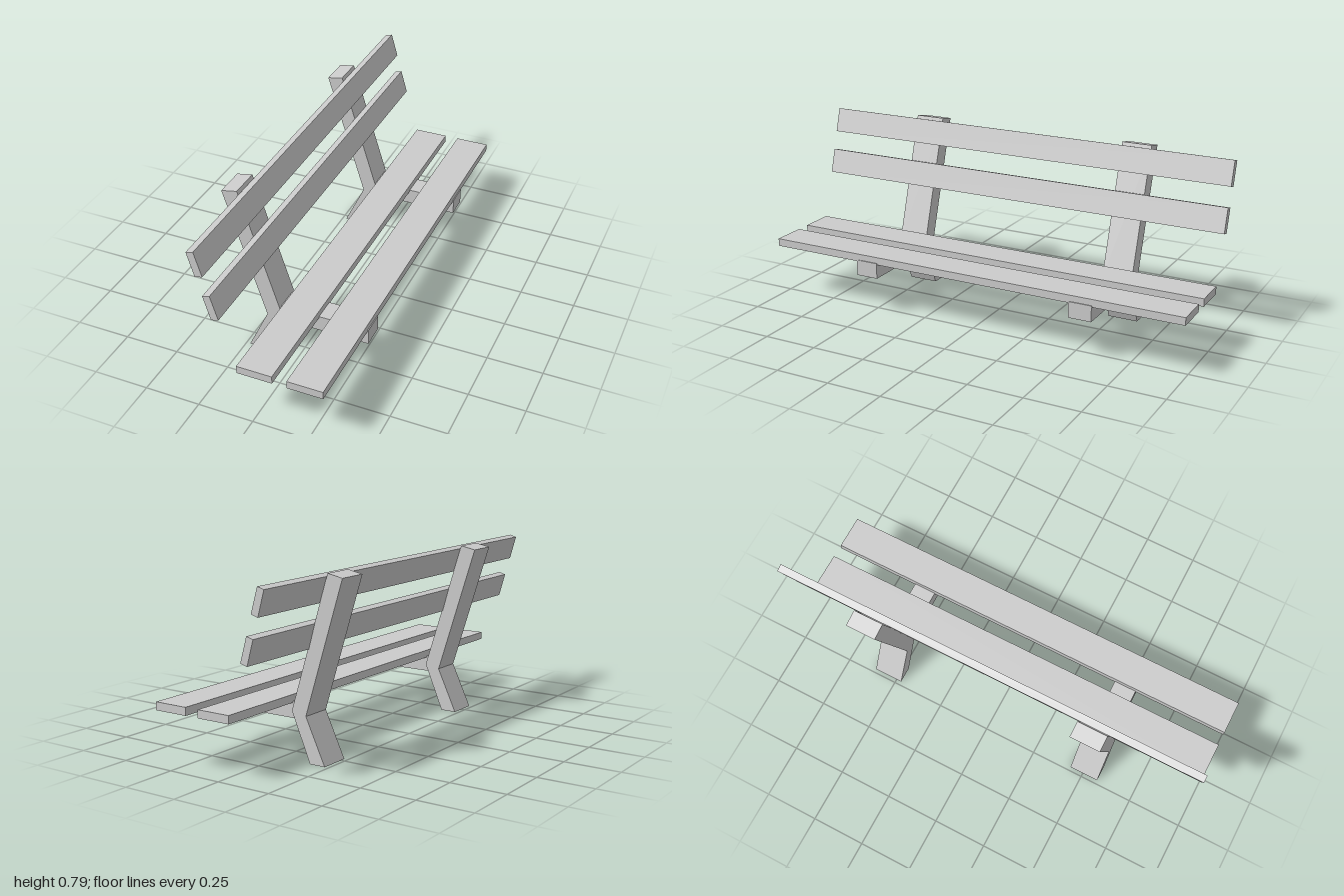
import * as THREE from 'three';

const material = new THREE.MeshStandardMaterial({ color: 0xcccccc });

// Extrudes an outline in the x-y plane along z, from z0 to z1
function prism(name, points, z0, z1) {
  const shape = new THREE.Shape(points.map(([x, y]) => new THREE.Vector2(x, y)));
  const geometry = new THREE.ExtrudeGeometry(shape, { depth: z1 - z0, bevelEnabled: false });
  geometry.translate(0, 0, z0);
  const mesh = new THREE.Mesh(geometry, material);
  mesh.name = name;
  return mesh;
}

// Axis-aligned box given by its limits
function box(name, x0, x1, y0, y1, z0, z1) {
  const geometry = new THREE.BoxGeometry(x1 - x0, y1 - y0, z1 - z0);
  geometry.translate((x0 + x1) / 2, (y0 + y1) / 2, (z0 + z1) / 2);
  const mesh = new THREE.Mesh(geometry, material);
  mesh.name = name;
  return mesh;
}

export function createModel() {
  const bench = new THREE.Group();
  bench.name = 'bench';

  // Two bent posts, each with a seat bearer
  const postOutline = [
    [-0.232, 0], [-0.158, 0], [-0.068, 0.212],
    [-0.252, 0.794], [-0.323, 0.78], [-0.139, 0.198],
  ];
  for (const z of [0.505, -0.545]) {
    const frame = new THREE.Group();
    frame.name = 'supportFrame';
    frame.add(prism('bentPost', postOutline, z - 0.069, z + 0.069));
    frame.add(box('seatBearer', -0.1, 0.322, 0.176, 0.248, z - 0.051, z + 0.054));
    bench.add(frame);
  }

  // Seat slats, let slightly into the bearers
  for (const x of [-0.06, 0.161]) {
    bench.add(box('seatSlat', x, x + 0.157, 0.241, 0.276, -1, 1));
  }

  // Leaning back slats, placed by their lower rear corner
  for (const [x, y] of [[-0.213, 0.672], [-0.157, 0.479]]) {
    bench.add(prism('backSlat', [
      [x, y], [x + 0.033, y + 0.009], [x + 0.001, y + 0.117], [x - 0.031, y + 0.108],
    ], -1, 1));
  }

  return bench;
}
